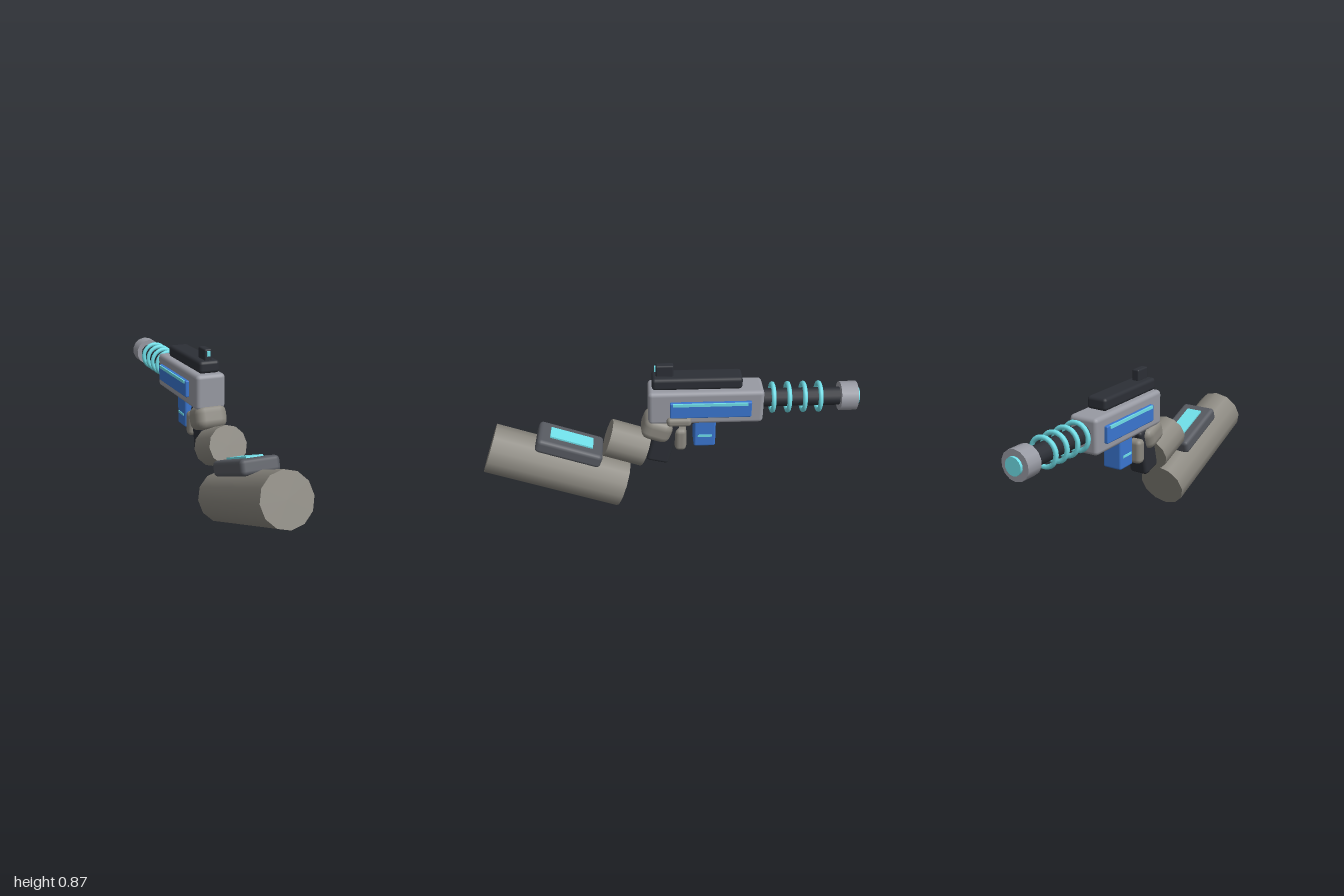
import * as THREE from 'three';
import { RoundedBoxGeometry } from 'three/addons/geometries/RoundedBoxGeometry.js';

const paint = (color) => new THREE.MeshStandardMaterial({ color });
const sleeve = paint(0x8a877f), metal = paint(0x989aa3), dark = paint(0x2c2f36);
const slate = paint(0x565960), blue = paint(0x3a76d0), cyan = paint(0x70e0ea);
const TILT = -20 * Math.PI / 180;

export function createModel() {
  const model = new THREE.Group();
  model.name = 'armWithBlaster';

  function add(name, geometry, material, [x, y, z], tilt = 0, parent = model) {
    const mesh = new THREE.Mesh(geometry, material);
    mesh.name = name;
    mesh.position.set(x, y, z);
    mesh.rotation.x = tilt;
    parent.add(mesh);
    return mesh;
  }
  const box = (w, h, d) => new THREE.BoxGeometry(w, h, d);
  const rounded = (w, h, d, r) => new RoundedBoxGeometry(w, h, d, 2, r);
  const rod = (r, length, sides = 12) =>
    new THREE.CylinderGeometry(r, r, length, sides).rotateX(Math.PI / 2);

  // Forearm with its wrist display, tilted together
  const forearm = new THREE.Group();
  forearm.name = 'forearm';
  forearm.position.set(0, 0.258, 0.605);
  forearm.rotation.x = TILT;
  model.add(forearm);
  add('forearmSleeve', rod(0.135, 0.75), sleeve, [0, 0, 0], 0, forearm);
  add('displayPad', rounded(0.205, 0.08, 0.36, 0.022), slate, [0, 0.155, -0.022], 0, forearm);
  add('displayScreen', box(0.09, 0.014, 0.235), cyan, [0, 0.197, -0.022], 0, forearm);

  // Hand
  add('wrist', rod(0.103, 0.215), sleeve, [0, 0.4, 0.225], TILT);
  add('palm', rounded(0.175, 0.13, 0.16, 0.045), sleeve, [0, 0.51, 0.06], TILT);
  add('thumb', rounded(0.05, 0.05, 0.13, 0.02), sleeve, [0.082, 0.583, -0.053]);
  add('fingers', rounded(0.14, 0.135, 0.062, 0.025), sleeve, [0, 0.447, -0.064]);

  // Receiver, top rail and sight
  add('receiver', rounded(0.163, 0.19, 0.6, 0.022), metal, [0, 0.655, -0.193]);
  add('topRail', rounded(0.114, 0.066, 0.466, 0.018), dark, [0, 0.785, -0.147]);
  add('sight', rounded(0.04, 0.065, 0.091, 0.008), dark, [0, 0.844, 0.019]);
  add('sightLens', box(0.018, 0.028, 0.012), cyan, [0, 0.853, 0.067]);

  // Glowing panels on both sides
  for (const side of [-1, 1]) {
    add('sidePanel', rounded(0.024, 0.09, 0.423, 0.007), blue, [side * 0.089, 0.655, -0.216]);
    add('panelLight', box(0.012, 0.016, 0.386), cyan, [side * 0.099, 0.691, -0.213]);
    add('magazineLight', box(0.006, 0.012, 0.075), cyan, [side * 0.056, 0.47, -0.192]);
  }

  // Grip, trigger guard and magazine
  add('grip', rounded(0.11, 0.27, 0.125, 0.02), dark, [0, 0.43, 0.03], -14 * Math.PI / 180);
  add('triggerGuard', box(0.04, 0.016, 0.19), dark, [0, 0.53, -0.125]);
  add('magazine', rounded(0.11, 0.17, 0.116, 0.012), blue, [0, 0.485, -0.192]);

  // Barrel with energy coils and muzzle
  const barrelY = 0.667;
  add('barrel', rod(0.048, 0.43), dark, [0, barrelY, -0.69]);
  for (let i = 0; i < 4; i++) {
    add('coil', new THREE.TorusGeometry(0.071, 0.0125, 8, 24), cyan, [0, barrelY, -0.545 - i * 0.0815]);
  }
  add('muzzle', rod(0.077, 0.088, 14), metal, [0, barrelY, -0.942]);
  add('muzzleGlow', rod(0.045, 0.02, 14), cyan, [0, barrelY, -0.99]);

  return model;
}
